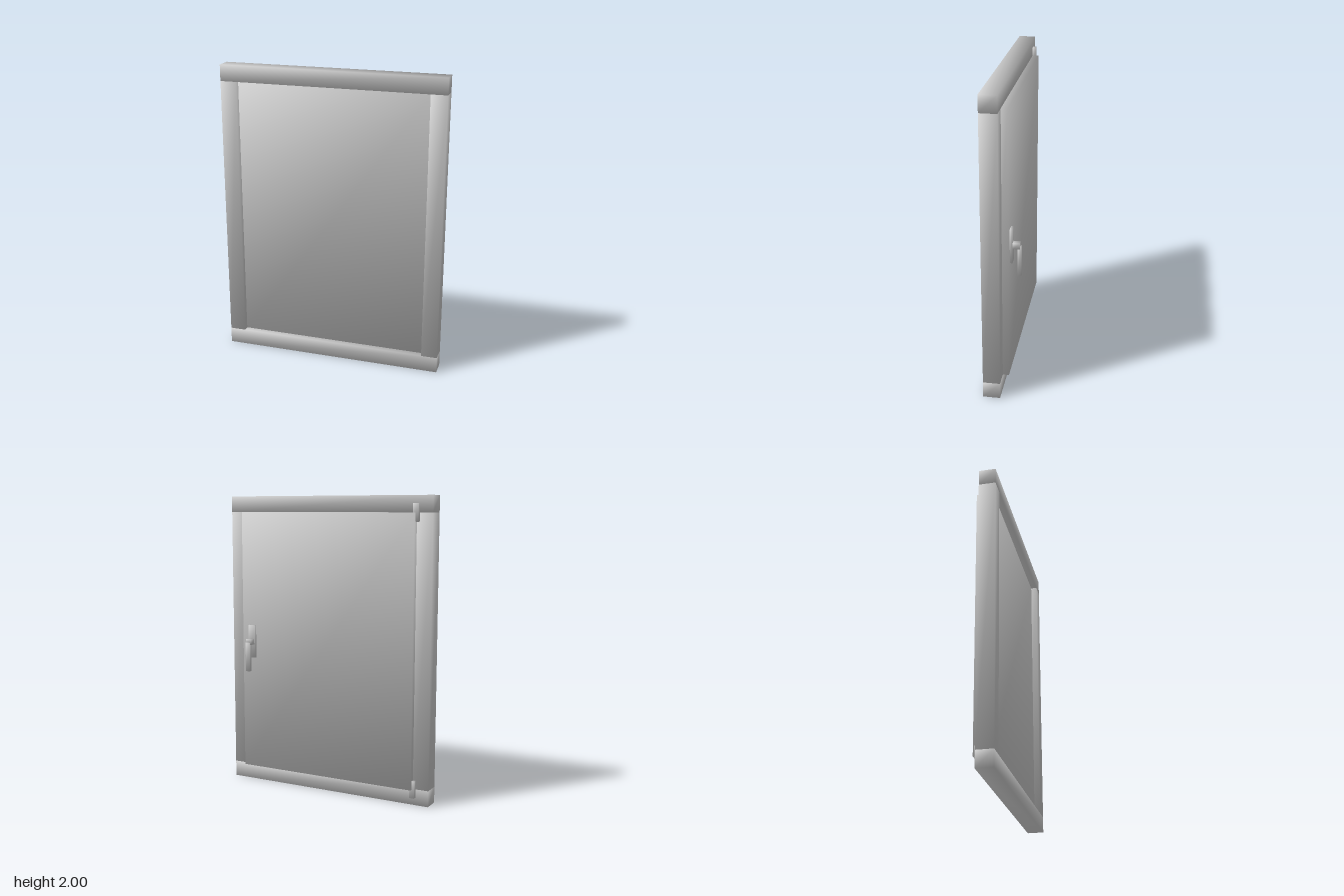
import * as THREE from 'three';

const material = new THREE.MeshStandardMaterial({ color: 0xcccccc });

// Box between two corners, with soft normals pointing out through its corners
function softBox(name, [x0, y0, z0], [x1, y1, z1]) {
  const geometry = new THREE.BoxGeometry(x1 - x0, y1 - y0, z1 - z0);
  const { position, normal } = geometry.attributes;
  const n = new THREE.Vector3();
  for (let i = 0; i < position.count; i++) {
    n.set(Math.sign(position.getX(i)), Math.sign(position.getY(i)), Math.sign(position.getZ(i))).normalize();
    normal.setXYZ(i, n.x, n.y, n.z);
  }
  const mesh = new THREE.Mesh(geometry, material);
  mesh.name = name;
  mesh.position.set((x0 + x1) / 2, (y0 + y1) / 2, (z0 + z1) / 2);
  return mesh;
}

export function createModel() {
  const model = new THREE.Group();
  model.name = 'window';
  const W = 0.748, H = 2, BAR = 0.107, DEPTH = 0.11;

  // Outer frame: two full-width rails with the posts between them
  const frame = new THREE.Group();
  frame.name = 'frame';
  frame.add(
    softBox('bottomRail', [-W, 0, 0], [W, BAR, DEPTH]),
    softBox('topRail', [-W, H - BAR, 0], [W, H, DEPTH]),
    softBox('rightPost', [-W, BAR, 0], [BAR - W, H - BAR, DEPTH]),
    softBox('leftPost', [W - BAR, BAR, 0], [W, H - BAR, DEPTH]),
  );

  // Sash panel, set back from the frame front and standing proud at the back
  const sash = softBox('sash', [BAR - W, BAR, -0.04], [W - BAR, H - BAR, 0.07]);

  // Hinges at the top and bottom corners
  const hinges = new THREE.Group();
  hinges.name = 'hinges';
  for (const [name, y] of [['lowerHinge', 0.05], ['upperHinge', 1.835]]) {
    hinges.add(softBox(name, [-0.66, y, -0.024], [-0.624, y + 0.115, 0]));
  }

  // Handle: back plate, spindle and hanging grip
  const handle = new THREE.Group();
  handle.name = 'handle';
  handle.add(
    softBox('handlePlate', [0.535, 0.89, -0.056], [0.589, 1.117, -0.04]),
    softBox('handleSpindle', [0.542, 0.984, -0.101], [0.582, 1.022, -0.056]),
    softBox('handleGrip', [0.546, 0.8, -0.11], [0.578, 1.0, -0.086]),
  );

  model.add(frame, sash, hinges, handle);
  return model;
}
